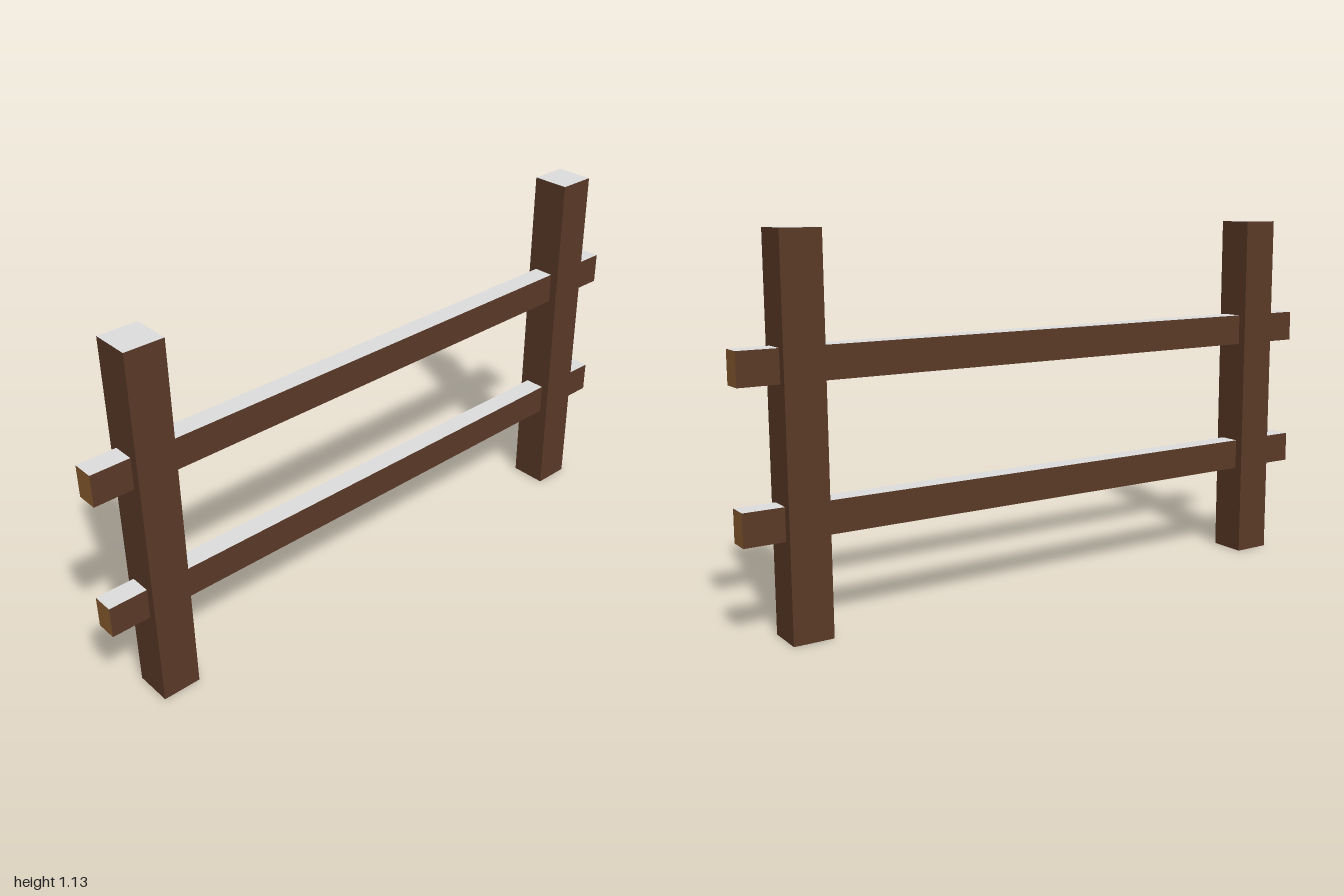
import * as THREE from 'three';

export function createModel() {
  const mat = (name, color) => {
    const m = new THREE.MeshStandardMaterial({ color });
    m.name = name;
    return m;
  };
  const bark = mat('brown wood', 0x5a3926);
  const cut = mat('cut wood', 0x8a5e31);
  const snow = mat('snow', 0xdedede);

  const group = new THREE.Group();
  group.name = 'fence';

  // Box with one material per face, in the order +x, -x, +y, -y, +z, -z
  const beam = (name, size, position, faces) => {
    const mesh = new THREE.Mesh(new THREE.BoxGeometry(...size), faces);
    mesh.name = name;
    mesh.position.set(...position);
    group.add(mesh);
  };

  // Upright posts: snowy tops, cut undersides
  for (const [name, side] of [['leftPost', 1], ['rightPost', -1]]) {
    beam(name, [0.12, 1.13, 0.12], [side * 0.82, 0.565, 0], [bark, bark, snow, cut, bark, bark]);
  }

  // Rails running through the posts: snowy tops, cut ends
  for (const [name, y] of [['lowerRail', 0.338], ['upperRail', 0.768]]) {
    beam(name, [2, 0.097, 0.066], [0, y, 0], [cut, cut, snow, bark, bark, bark]);
  }

  return group;
}
